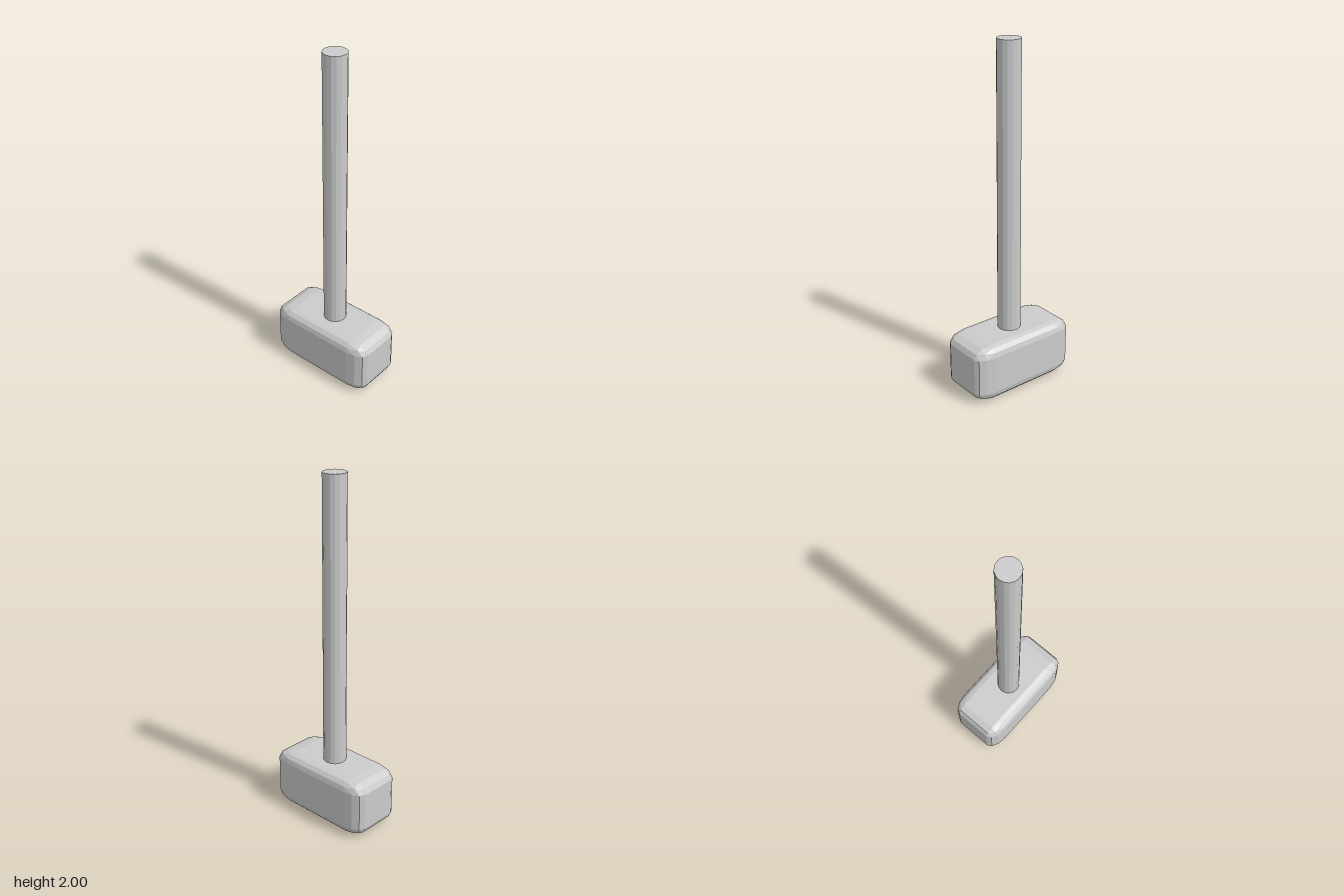
import * as THREE from 'three';
import { ConvexGeometry } from 'three/addons/geometries/ConvexGeometry.js';

const SIGNS = [-1, 1];

// Block whose eight corners are stretched sphere octants with three steps per bevel
function beveledBlock(half, bevel, steps) {
  const points = [];
  const wave = (n) => Math.sin((n / steps) * Math.PI / 2);
  for (const sx of SIGNS) for (const sy of SIGNS) for (const sz of SIGNS) {
    const sign = new THREE.Vector3(sx, sy, sz);
    for (let i = 0; i <= steps; i++) {
      for (let j = 0; j <= steps - i; j++) {
        const p = new THREE.Vector3(wave(i), wave(j), wave(steps - i - j)).normalize();
        points.push(p.multiply(bevel).add(half).sub(bevel).multiply(sign));
      }
    }
  }
  return new ConvexGeometry(points);
}

export function createModel() {
  const group = new THREE.Group();
  group.name = 'sledgehammer';
  const material = new THREE.MeshStandardMaterial({ color: 0xcccccc, flatShading: true });

  // Heavy head, twice as wide as it is tall and deep
  const half = new THREE.Vector3(0.333, 0.1665, 0.1665);
  const bevel = new THREE.Vector3(0.111, 0.0555, 0.0555);
  const head = new THREE.Mesh(beveledBlock(half, bevel, 3), material);
  head.name = 'head';
  head.position.y = 0.178;
  group.add(head);

  // Straight handle passing through the head and showing slightly below it
  const handle = new THREE.Mesh(new THREE.CylinderGeometry(0.066, 0.066, 2, 16), material);
  handle.name = 'handle';
  handle.position.y = 1;
  group.add(handle);

  return group;
}
